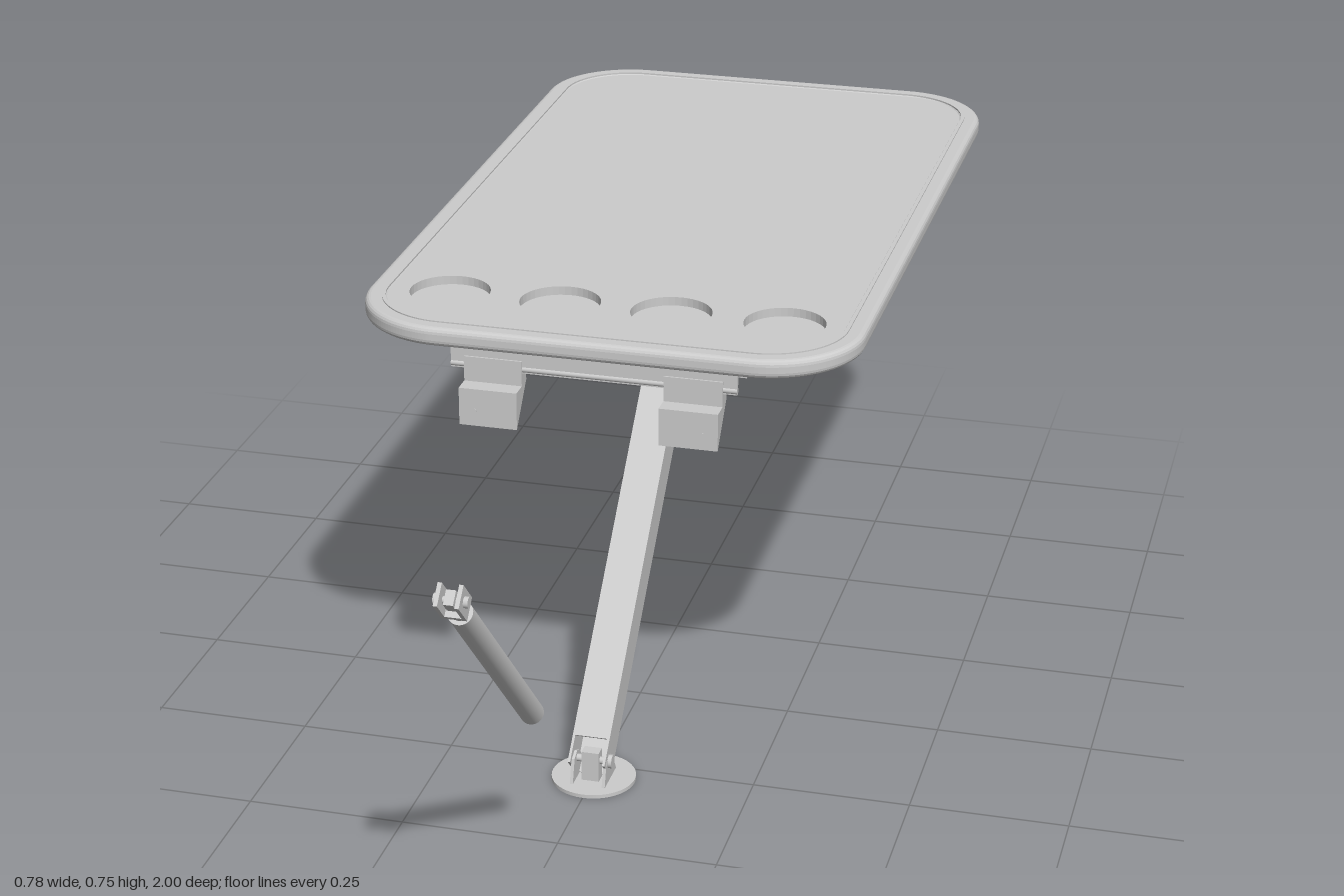
import * as THREE from 'three';

const mat = new THREE.MeshStandardMaterial({ color: 0xcccccc, side: THREE.DoubleSide });

function add(parent, name, geo, x = 0, y = 0, z = 0) {
  const m = new THREE.Mesh(geo, mat);
  m.name = name;
  m.position.set(x, y, z);
  parent.add(m);
  return m;
}
const box = (w, h, d) => new THREE.BoxGeometry(w, h, d);
const disc = (r, h) => new THREE.CylinderGeometry(r, r, h, 40);
const pin = (r, w) => new THREE.CylinderGeometry(r, r, w, 20).rotateZ(Math.PI / 2);

function group(parent, name, x, y, z, rx = 0) {
  const g = new THREE.Group();
  g.name = name;
  g.position.set(x, y, z);
  g.rotation.x = rx;
  parent.add(g);
  return g;
}

// Rounded rectangle outline, half sizes a and b, corner radius r
function roundedRect(a, b, r, Type = THREE.Shape) {
  const s = new Type();
  s.moveTo(a, -b + r);
  s.absarc(a - r, b - r, r, 0, Math.PI / 2);
  s.absarc(-a + r, b - r, r, Math.PI / 2, Math.PI);
  s.absarc(-a + r, -b + r, r, Math.PI, Math.PI * 1.5);
  s.absarc(a - r, -b + r, r, Math.PI * 1.5, Math.PI * 2);
  return s;
}

// Extrude a plan outline upwards
const slab = (shape, depth, opts = {}) =>
  new THREE.ExtrudeGeometry(shape, { depth, bevelEnabled: false, curveSegments: 20, ...opts }).rotateX(-Math.PI / 2);

// Extrude a side outline of [z, y] points across x, centred
function sideProfile(pts, width) {
  const s = new THREE.Shape(pts.map(([z, y]) => new THREE.Vector2(-z, y)));
  return new THREE.ExtrudeGeometry(s, { depth: width, bevelEnabled: false })
    .translate(0, 0, -width / 2).rotateY(Math.PI / 2);
}

function buildTable(root) {
  const g = group(root, 'tableTop', 0, 0.72, -0.345);
  const a = 0.392, b = 0.655, r = 0.15;

  // Rounded outer rim
  const rim = roundedRect(a, b, r);
  rim.holes.push(roundedRect(a - 0.038, b - 0.038, r - 0.038, THREE.Path));
  add(g, 'rim', slab(rim, 0.01, {
    bevelEnabled: true, bevelThickness: 0.01, bevelSize: 0.009, bevelOffset: -0.009, bevelSegments: 4,
  }), 0, 0.01, 0);

  // Raised bead along the rim
  const bead = roundedRect(a - 0.026, b - 0.026, r - 0.026);
  bead.holes.push(roundedRect(a - 0.032, b - 0.032, r - 0.032, THREE.Path));
  add(g, 'rimBead', slab(bead, 0.004), 0, 0.028, 0);

  // Panel with four cup recesses over a closed floor
  const inner = () => roundedRect(a - 0.034, b - 0.034, r - 0.034);
  const panel = inner();
  for (const x of [-0.265, -0.088, 0.088, 0.265]) {
    panel.holes.push(new THREE.Path().absarc(x, -0.495, 0.063, 0, Math.PI * 2));
  }
  add(g, 'panel', slab(panel, 0.014), 0, 0.014, 0);
  add(g, 'underside', slab(inner(), 0.014));
}

function buildWallMount(root) {
  const g = group(root, 'wallMount', 0, 0, 0);
  // Channel rail under the front edge
  add(g, 'rail', box(0.446, 0.006, 0.07), 0, 0.717, 0.249);
  add(g, 'railFrontFlange', box(0.446, 0.04, 0.006), 0, 0.7, 0.28);
  add(g, 'railBackFlange', box(0.446, 0.036, 0.006), 0, 0.7, 0.217);
  add(g, 'railLip', pin(0.005, 0.446), 0, 0.686, 0.28);
  // Wedge hooks
  const wedge = [[0.315, 0.6], [0.315, 0.66], [0.286, 0.66], [0.286, 0.7], [0.262, 0.7], [0.262, 0.662]];
  for (const s of [-1, 1]) {
    add(g, 'hook', sideProfile(wedge, 0.091), s * 0.156, 0, 0);
    add(g, 'hookScrew', disc(0.003, 0.002).rotateX(Math.PI / 2), s * 0.177, 0.625, 0.315);
  }
}

function buildLeg(root) {
  const g = group(root, 'leg', -0.002, 0.025, 0.31, -Math.PI / 4);
  const L = 0.885, t = 0.004, w = 0.06, d = 0.056;
  // Square tube, front wall notched at the foot
  for (const s of [-1, 1]) add(g, 'legSide', box(t, L, d), s * (w - t) / 2, L / 2, 0);
  add(g, 'legBack', box(w, L, t), 0, L / 2, -(d - t) / 2);
  add(g, 'legFront', box(w, L - 0.045, t), 0, (L + 0.045) / 2, (d - t) / 2);
  add(g, 'legTopPlug', box(w - t, 0.01, d - t), 0, L - 0.03, 0);

  // Latch on the underside near the top
  const latch = [[-0.026, 0.71], [-0.04, 0.725], [-0.04, 0.765], [-0.034, 0.775],
    [-0.042, 0.785], [-0.052, 0.805], [-0.052, 0.825], [-0.042, 0.84], [-0.026, 0.843]];
  add(g, 'latch', sideProfile(latch, 0.036));

  // Foot with clevis and pin
  const f = group(root, 'foot', 0, 0, 0.291);
  add(f, 'footPlate', disc(0.067, 0.006), 0, 0.003, 0);
  const ear = [[-0.03, 0.005], [0.04, 0.005], [0.028, 0.045], [0.012, 0.052], [-0.004, 0.045]];
  for (const s of [-1, 1]) {
    add(f, 'footEar', sideProfile(ear, 0.005), s * 0.026, 0, 0);
    add(f, 'pinHead', pin(0.011, 0.007), s * 0.031, 0.04, 0.012);
  }
  add(f, 'footPin', pin(0.006, 0.06), 0, 0.04, 0.012);
  add(f, 'footTongue', box(0.028, 0.052, 0.02), 0, 0.03, 0.012);
}

function buildUndersideFittings(root) {
  // Socket that receives the top of the leg
  const s = group(root, 'legSocket', 0, 0, -0.385);
  add(s, 'socketPlate', disc(0.08, 0.006), 0, 0.717, 0);
  const tri = [[-0.034, 0.716], [0.011, 0.673], [0.055, 0.716]];
  add(s, 'socketWedge', sideProfile(tri, 0.04));

  // Storage catch: strap and bent wire loop
  const c = group(root, 'storageCatch', 0, 0, 0);
  add(c, 'catchStrap', box(0.03, 0.006, 0.13), 0, 0.717, -0.775);
  const path = new THREE.CatmullRomCurve3([
    [-0.042, 0.718, -0.82], [-0.042, 0.712, -0.843], [-0.042, 0.692, -0.848], [-0.036, 0.683, -0.84],
    [0.036, 0.683, -0.84], [0.042, 0.692, -0.848], [0.042, 0.712, -0.843], [0.042, 0.718, -0.82],
  ].map(p => new THREE.Vector3(...p)), false, 'centripetal');
  add(c, 'catchLoop', new THREE.TubeGeometry(path, 60, 0.004, 8));
}

function buildStrut(root) {
  // Separate round strut with a clevis joint at its upper end
  const g = group(root, 'strut', -0.003, 0.288, 0.615, Math.PI / 4);
  add(g, 'strutTube', new THREE.CylinderGeometry(0.018, 0.018, 0.46, 28), 0, 0.23, 0);
  add(g, 'strutNeck', new THREE.CylinderGeometry(0.012, 0.012, 0.03, 20), 0, 0.472, 0);
  add(g, 'clevisBase', box(0.036, 0.008, 0.034), 0, 0.484, 0);
  for (const s of [-1, 1]) {
    add(g, 'clevisEar', box(0.006, 0.046, 0.034), s * 0.015, 0.507, 0);
    add(g, 'clevisPinHead', pin(0.008, 0.007), s * 0.021, 0.51, 0);
  }
  add(g, 'clevisPin', pin(0.005, 0.044), 0, 0.51, 0);
  add(g, 'clevisTongue', box(0.014, 0.024, 0.022), 0, 0.51, 0);
}

export function createModel() {
  const root = new THREE.Group();
  root.name = 'foldingTable';
  buildTable(root);
  buildWallMount(root);
  buildLeg(root);
  buildUndersideFittings(root);
  buildStrut(root);
  return root;
}
